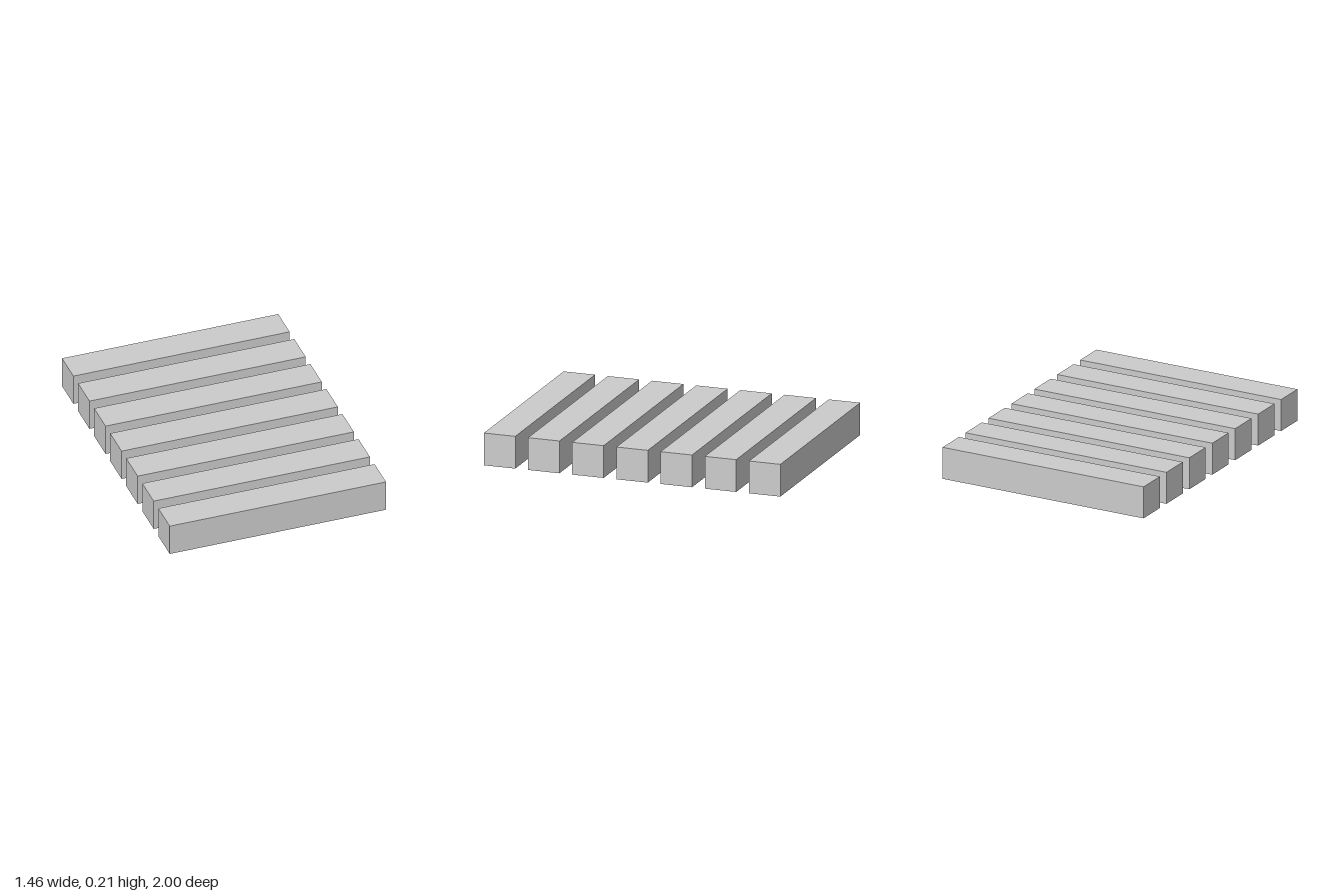
import * as THREE from 'three';

// Seven separate, evenly spaced square beams lying side by side along z.
export function createModel() {
  const group = new THREE.Group();
  group.name = 'beamRow';

  const count = 7;
  const length = 1.455;
  const height = 0.213;
  const depth = 0.212;
  const pitch = (2 - depth) / (count - 1);

  const material = new THREE.MeshStandardMaterial({ color: 0xcccccc });
  const geometry = new THREE.BoxGeometry(length, height, depth);

  for (let i = 0; i < count; i++) {
    const beam = new THREE.Mesh(geometry, material);
    beam.name = `beam${i + 1}`;
    beam.position.set(0, height / 2, (i - (count - 1) / 2) * pitch);
    group.add(beam);
  }
  return group;
}
